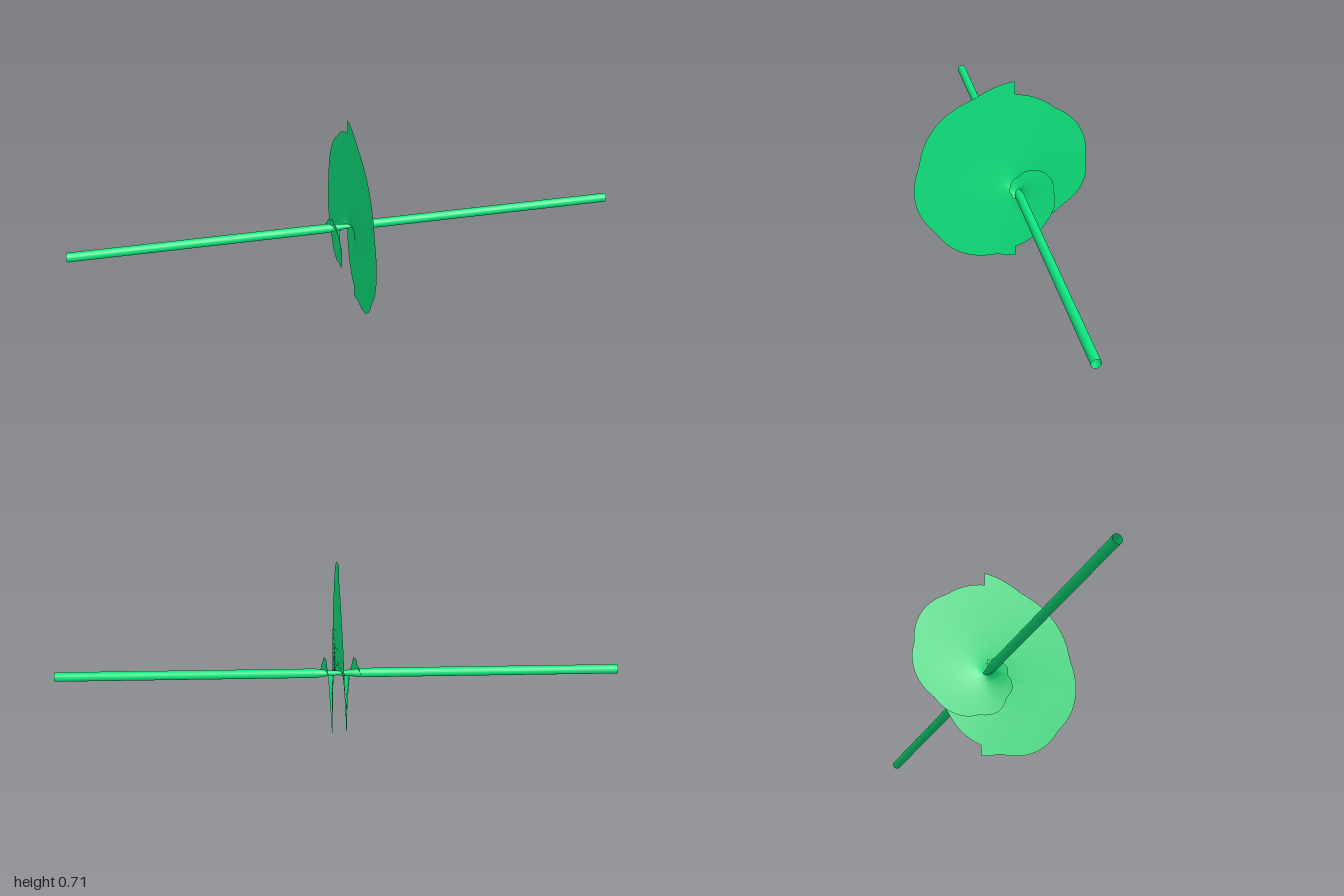
import * as THREE from 'three';

const AXIS_Y = 0.285, AXIS_Z = -0.045, ROD_R = 0.0165;

// Piecewise-linear lookup in a short list of [key, value] pairs
function lookup(pairs, t) {
  for (let i = 1; i < pairs.length; i++) {
    const [a, u] = pairs[i - 1], [b, v] = pairs[i];
    if (t <= b) return u + (v - u) * Math.max(0, (t - a) / (b - a));
  }
  return pairs[pairs.length - 1][1];
}

// Depth along the rod for each angle of the winding
const DEPTH = [[-180, 0.075], [0, 0.045], [90, 0.032], [180, 0.018], [270, 0.008],
  [360, -0.005], [450, -0.02], [540, -0.035], [630, -0.055], [810, -0.085]];

// Spiral sheet from the axis out to a scalloped rim
function spiralSheet(rim, scallop) {
  const start = rim[0][0], end = rim[rim.length - 1][0];
  const steps = Math.round((end - start) / 3), rings = 8;
  const pos = [], idx = [];
  for (let i = 0; i <= steps; i++) {
    const deg = start + (end - start) * i / steps;
    const a = THREE.MathUtils.degToRad(deg);
    const lobe = scallop * Math.abs(Math.sin(Math.PI * (deg - 242) / 48));
    const r = lookup(rim, deg) + lobe;
    const x = lookup(DEPTH, deg);
    for (let j = 0; j <= rings; j++) {
      const q = r * j / rings;
      pos.push(x, q * Math.cos(a), -q * Math.sin(a));
      if (i < steps && j < rings) {
        const k = i * (rings + 1) + j, n = k + rings + 1;
        idx.push(k, k + 1, n, k + 1, n + 1, n);
      }
    }
  }
  const g = new THREE.BufferGeometry();
  g.setAttribute('position', new THREE.Float32BufferAttribute(pos, 3));
  g.setIndex(idx);
  g.computeVertexNormals();
  return g;
}

export function createModel() {
  const model = new THREE.Group();
  const mat = new THREE.MeshStandardMaterial({ color: 0x0fe67f, side: THREE.DoubleSide });
  const add = (name, geometry) => {
    const m = new THREE.Mesh(geometry, mat);
    m.name = name;
    m.position.set(0, AXIS_Y, AXIS_Z);
    model.add(m);
    return m;
  };

  // Hollow rod, narrowing where the spiral winds round it
  const profile = [[ROD_R, -1], [ROD_R, -0.08], [0.012, -0.05], [0.008, 0],
    [0.012, 0.05], [ROD_R, 0.08], [ROD_R, 1]].map(([r, y]) => new THREE.Vector2(r, y));
  add('rod', new THREE.LatheGeometry(profile, 24)).rotation.z = -Math.PI / 2;

  // Spiral sheet in three windings, with a step in the rim between them
  add('leftWinding', spiralSheet(
    [[-180, 0.014], [-90, 0.025], [0, 0.06], [50, 0.11], [104, 0.142], [130, 0.175], [180, 0.25]], 0.004));
  add('middleWinding', spiralSheet(
    [[180, 0.282], [194, 0.285], [242, 0.333], [290, 0.367], [337, 0.39], [360, 0.4]], 0.014));
  add('rightWinding', spiralSheet(
    [[360, 0.352], [384, 0.33], [433, 0.278], [479, 0.23], [507, 0.195], [540, 0.155],
      [585, 0.105], [630, 0.065], [720, 0.027], [810, 0.012]], 0.012));

  return model;
}
